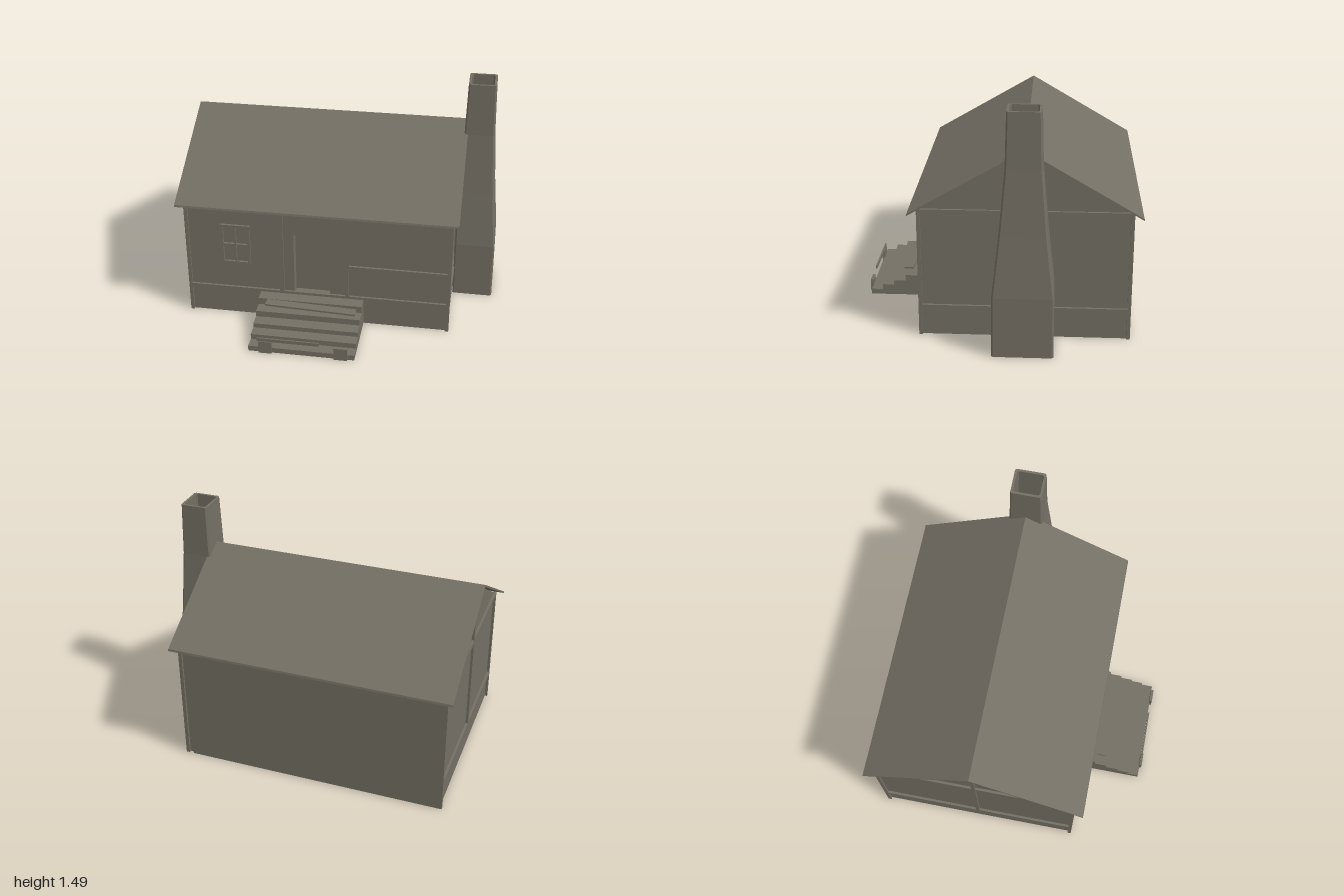
import * as THREE from 'three';

export function createModel() {
  const group = new THREE.Group();
  const stone = new THREE.MeshStandardMaterial({ color: 0x746f64, side: THREE.DoubleSide });
  stone.name = 'weathered grey brown';

  const add = (name, geometry) => {
    const mesh = new THREE.Mesh(geometry, stone);
    mesh.name = name;
    group.add(mesh);
    return mesh;
  };
  // Box from its minimum and maximum on each axis
  const box = (name, x0, x1, y0, y1, z0, z1) => {
    const g = new THREE.BoxGeometry(x1 - x0, y1 - y0, z1 - z0);
    g.translate((x0 + x1) / 2, (y0 + y1) / 2, (z0 + z1) / 2);
    return add(name, g);
  };
  // Side profile given as [z, y] points, extruded from x0 to x1
  const profile = (name, points, x0, x1) => {
    const shape = new THREE.Shape(points.map(([z, y]) => new THREE.Vector2(z, y)));
    const g = new THREE.ExtrudeGeometry(shape, { depth: x1 - x0, bevelEnabled: false });
    g.rotateY(-Math.PI / 2);
    g.translate(x1, 0, 0);
    return add(name, g);
  };

  const L = -0.96, R = 0.74, F = 0.47, B = -0.82, mid = -0.175, d = 0.015;

  // House body, stepped back behind the lower front wall for the doorway
  profile('houseBody', [
    [B + d, 0], [F - 0.075, 0], [F - 0.075, 0.615], [F - d, 0.615],
    [F - d, 0.825], [mid, 1.2], [B + d, 0.825],
  ], L + d, R - d);

  // Front wall around the recessed doorway
  box('frontWallLeft', L + d, -0.26, 0, 0.615, F - 0.075, F - d);
  box('frontWallRight', -0.03, R - d, 0, 0.615, F - 0.075, F - d);
  box('doorSill', -0.26, -0.03, 0, 0.185, F - 0.075, F - d);

  // Plain back wall panel
  box('backWall', L + 0.01, R - 0.05, 0, 0.815, B, B + d);

  // Corner posts
  for (const x of [L, R - 0.022])
    for (const z of [B, F - 0.022])
      box('cornerPost', x, x + 0.022, 0, 0.815, z, z + 0.022);

  // Front timber frame
  box('frontPost', -0.355, -0.325, 0.175, 0.815, F - d, F);
  box('frontPost', 0.07, 0.095, 0.175, 0.815, F - d, F);
  box('frontSillBeam', L, R, 0.175, 0.202, F - d, F);
  box('frontMidBeam', 0.095, R, 0.4, 0.427, F - d, F);
  box('frontTopBeam', L, R, 0.79, 0.82, F - d, F);

  // Timber frame of both gable ends
  for (const x of [L, R - d]) {
    box('gableSillBeam', x, x + d, 0.172, 0.202, B, F);
    box('gableTopBeam', x, x + d, 0.797, 0.825, B, F);
    box('gablePost', x, x + d, 0.202, 1.18, mid - 0.012, mid + 0.012);
  }

  // Thin pitched roof with overhang
  profile('roof', [
    [0.525, 0.793], [0.522, 0.806], [mid, 1.213], [-0.872, 0.806], [-0.875, 0.793], [mid, 1.198],
  ], -1, 0.775);

  // Window frame with cross bars
  const frame = new THREE.Shape();
  frame.moveTo(-0.73, 0.38).lineTo(-0.54, 0.38).lineTo(-0.54, 0.66).lineTo(-0.73, 0.66);
  for (const x of [-0.713, -0.63])
    for (const y of [0.396, 0.525]) {
      const pane = new THREE.Path();
      pane.moveTo(x, y).lineTo(x, y + 0.12).lineTo(x + 0.073, y + 0.12).lineTo(x + 0.073, y);
      frame.holes.push(pane);
    }
  const windowGeometry = new THREE.ExtrudeGeometry(frame, { depth: 0.015, bevelEnabled: false });
  add('windowFrame', windowGeometry.translate(0, 0, F - d));

  // Entrance steps
  const steps = [[0.55, 0.185], [0.63, 0.14], [0.71, 0.1], [0.785, 0.07], [0.86, 0.035]];
  const outline = [[F - d, 0], [F - d, 0.185]];
  steps.forEach(([z, y], i) => {
    outline.push([z, y], [z, i < 4 ? steps[i + 1][1] : 0]);
  });
  profile('steps', outline, -0.478, 0.19);

  // Loose plank on the steps, short posts and rail at their foot
  const plank = add('loosePlank', new THREE.BoxGeometry(0.58, 0.012, 0.06));
  plank.position.set(-0.13, 0.18, 0.597);
  plank.rotation.y = -0.05;
  box('stepPost', -0.41, -0.327, 0, 0.083, 0.855, 0.873);
  box('stepPost', 0.062, 0.147, 0, 0.083, 0.855, 0.873);
  box('stepRail', -0.42, -0.03, 0.083, 0.105, 0.858, 0.867);

  // Hollow tapered chimney from chamfered rings: [y, x0, x1, z0, z1]
  const rings = [
    [0, 0.735, 0.998, -0.357, 0.01], [0.38, 0.735, 0.996, -0.357, 0.01],
    [0.75, 0.735, 0.966, -0.315, -0.03], [1.15, 0.753, 0.944, -0.282, -0.065],
    [1.485, 0.762, 0.936, -0.273, -0.073], [1.485, 0.777, 0.921, -0.258, -0.088],
    [1.15, 0.772, 0.925, -0.264, -0.083], [0.38, 0.755, 0.976, -0.337, -0.01],
    [0, 0.755, 0.978, -0.337, -0.01], [0, 0.735, 0.998, -0.357, 0.01],
  ];
  const c = 0.01, n = 8, positions = [], index = [];
  rings.forEach(([y, x0, x1, z0, z1], r) => {
    const loop = [
      [x0 + c, z1], [x1 - c, z1], [x1, z1 - c], [x1, z0 + c],
      [x1 - c, z0], [x0 + c, z0], [x0, z0 + c], [x0, z1 - c],
    ];
    loop.forEach(([x, z], i) => {
      positions.push(x, y, z);
      if (r === rings.length - 1) return;
      const a = r * n + i, b = r * n + (i + 1) % n;
      index.push(a, b, b + n, a, b + n, a + n);
    });
  });
  const indexed = new THREE.BufferGeometry();
  indexed.setAttribute('position', new THREE.Float32BufferAttribute(positions, 3));
  indexed.setIndex(index);
  const chimney = indexed.toNonIndexed();
  chimney.computeVertexNormals();
  add('chimney', chimney);

  return group;
}
